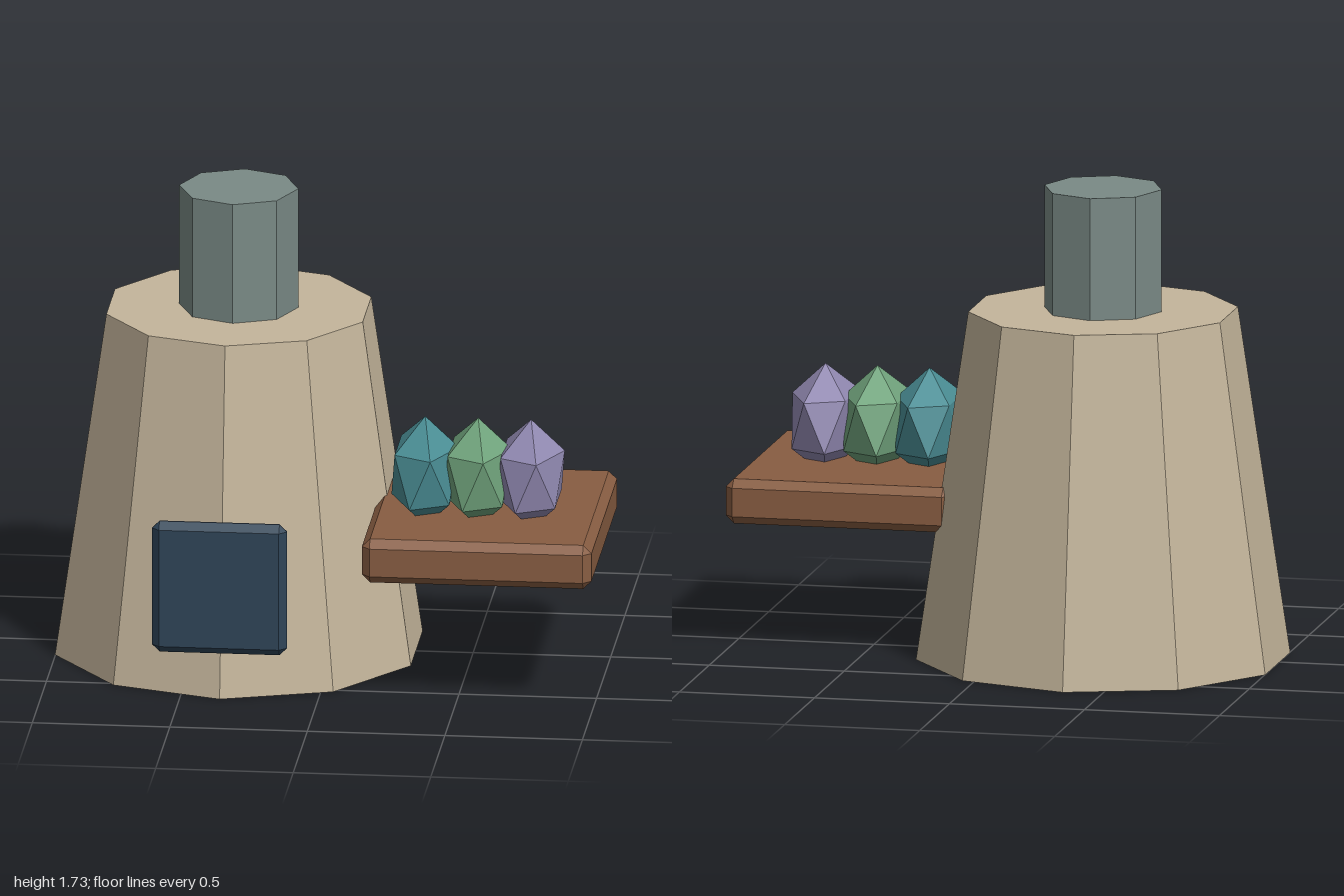
import * as THREE from 'three';
import { ConvexGeometry } from 'three/addons/geometries/ConvexGeometry.js';

function paint(name, color) {
  const m = new THREE.MeshStandardMaterial({ color, flatShading: true });
  m.name = name;
  return m;
}

// Box with every edge and corner cut by a single flat chamfer
function chamferBox(w, h, d, c) {
  const points = [];
  for (const sx of [-1, 1]) for (const sy of [-1, 1]) for (const sz of [-1, 1]) {
    const x = w / 2, y = h / 2, z = d / 2;
    for (const [px, py, pz] of [[x, y - c, z - c], [x - c, y, z - c], [x - c, y - c, z]]) {
      points.push(new THREE.Vector3(sx * px, sy * py, sz * pz));
    }
  }
  return new ConvexGeometry(points);
}

export function createModel() {
  const group = new THREE.Group();
  const add = (name, geometry, material, x, y, z) => {
    const mesh = new THREE.Mesh(geometry, material);
    mesh.name = name;
    mesh.position.set(x, y, z);
    group.add(mesh);
  };

  // Tapered ten-sided body and octagonal chimney
  const cx = -0.355, cz = -0.03;
  add('body', new THREE.CylinderGeometry(0.49, 0.68, 1.28, 10), paint('clay', 0xc4b59b), cx, 0.64, cz);
  add('chimney', new THREE.CylinderGeometry(0.217, 0.217, 0.5, 8), paint('grey metal', 0x7a8a86), cx, 1.48, cz);

  // Door panel at the front
  add('door', chamferBox(0.49, 0.495, 0.06, 0.027), paint('dark blue', 0x2f4558), cx, 0.4225, 0.65);

  // Side shelf
  add('shelf', chamferBox(0.835, 0.165, 0.96, 0.03), paint('wood', 0x885d42), 0.5825, 0.5525, 0.2275);

  // Row of faceted jars, each standing on a vertex and squeezed along x
  const jar = new THREE.IcosahedronGeometry(1, 0);
  jar.rotateZ(-Math.atan(2 / (1 + Math.sqrt(5))));
  jar.scale(0.137, 0.206, 0.229);
  const glazes = [['teal', 0x4a8d94], ['green', 0x70a37c], ['lilac', 0x9088b0]];
  glazes.forEach(([name, color], i) => {
    add(name + 'Jar', jar, paint(name, color), 0.353 + i * 0.1925, 0.77, 0.265);
  });

  return group;
}
